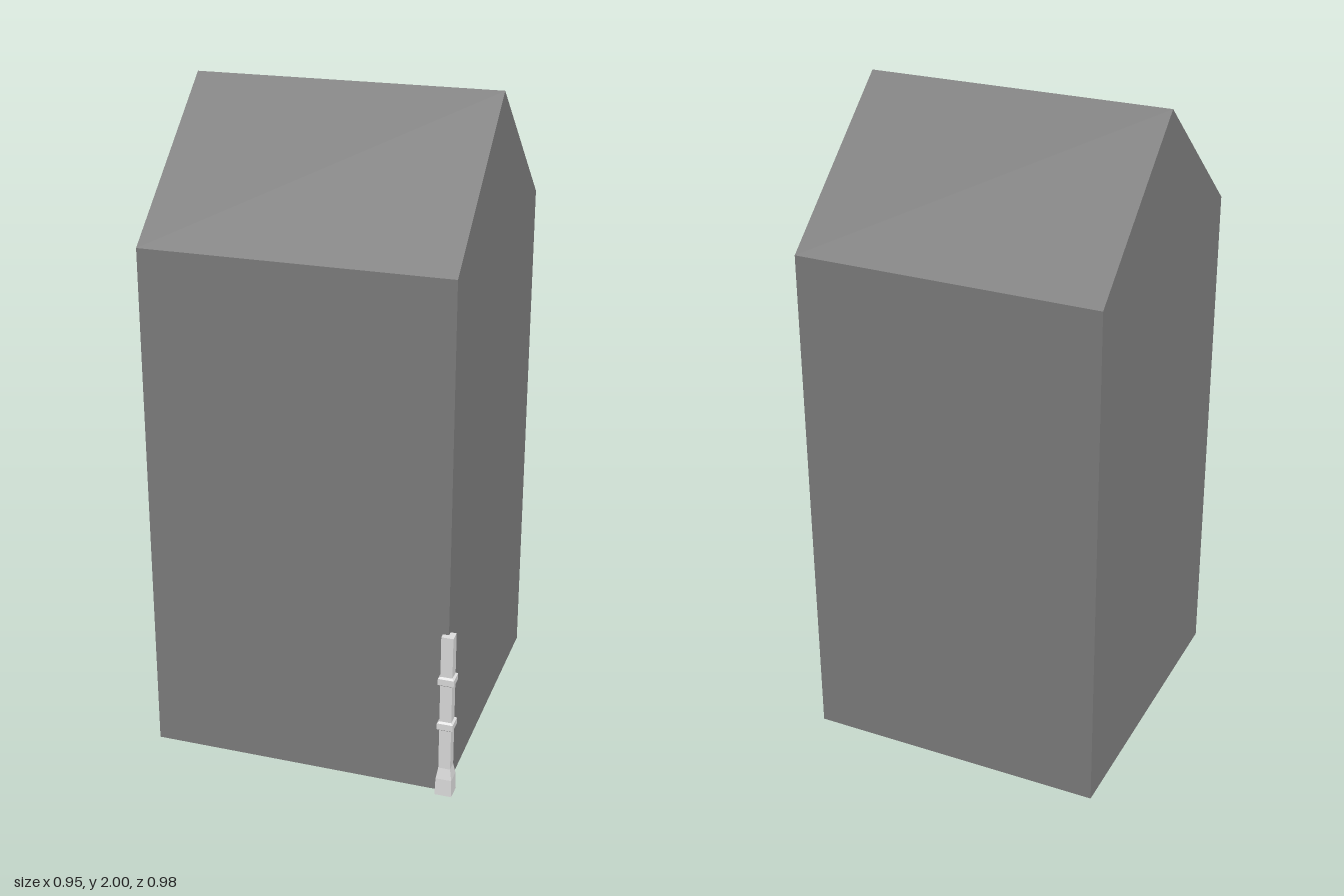
import * as THREE from 'three';

export function createModel() {
  const model = new THREE.Group();
  const wallGrey = new THREE.MeshStandardMaterial({ color: 0x808080 });
  wallGrey.name = 'wall grey';
  const postGrey = new THREE.MeshStandardMaterial({ color: 0xe0e0e0 });
  postGrey.name = 'pale post grey';

  // House body: gable outline (shape x is -z) extruded along x
  const left = -0.475, right = 0.449, back = -0.488, front = 0.462;
  const eave = 1.595, ridge = 2;
  const gable = new THREE.Shape([
    [-front, 0], [-back, 0], [-back, eave], [-(front + back) / 2, ridge], [-front, eave],
  ].map(([x, y]) => new THREE.Vector2(x, y)));
  const bodyGeometry = new THREE.ExtrudeGeometry(gable, { depth: right - left, bevelEnabled: false });
  bodyGeometry.rotateY(Math.PI / 2);
  bodyGeometry.translate(left, 0, 0);
  const body = new THREE.Mesh(bodyGeometry, wallGrey);
  body.name = 'houseBody';
  model.add(body);

  // Square corner post: [half width, height], with flared foot and two bands
  const profile = [
    [0, 0], [0.026, 0], [0.024, 0.055], [0.018, 0.09],
    [0.018, 0.22], [0.024, 0.225], [0.024, 0.245], [0.018, 0.25],
    [0.018, 0.37], [0.024, 0.375], [0.024, 0.395], [0.018, 0.4],
    [0.018, 0.53], [0, 0.53],
  ].map(([half, y]) => new THREE.Vector2(half * Math.SQRT2, y));
  const postGeometry = new THREE.LatheGeometry(profile, 4, Math.PI / 4).toNonIndexed();
  postGeometry.computeVertexNormals();
  const post = new THREE.Mesh(postGeometry, postGrey);
  post.name = 'cornerPost';
  post.position.set(right, 0, front);
  model.add(post);

  return model;
}
